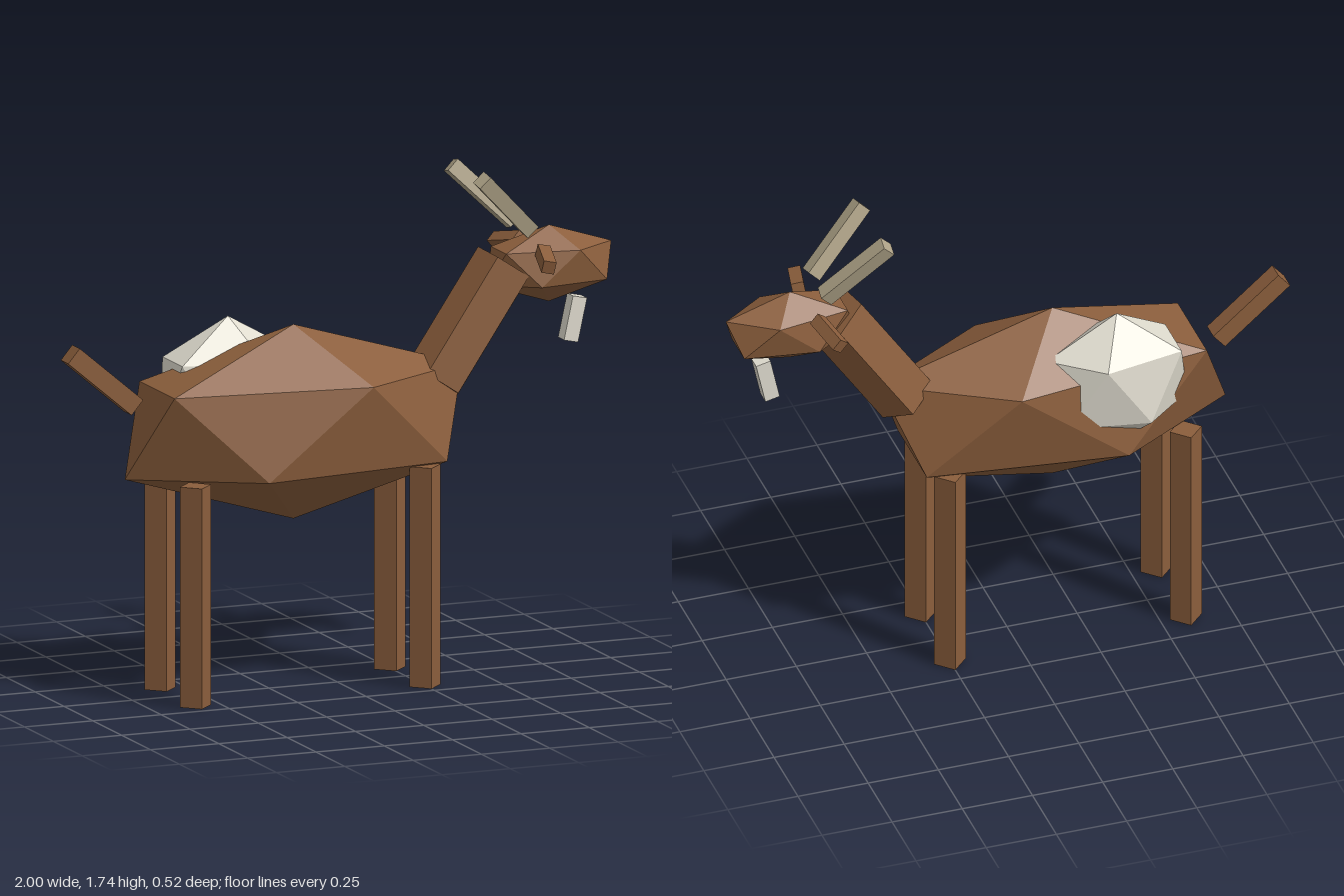
import * as THREE from 'three';

const MID = 0.01; // z of the animal's centre plane

function faceted(geometry) {
  const flat = geometry.index ? geometry.toNonIndexed() : geometry;
  flat.computeVertexNormals();
  return flat;
}

// Twenty-sided ball standing on a vertex, with two staggered rings of five
function gem(rx, ry, rz) {
  const points = [0, ry, 0];
  for (const [h, turn] of [[0.447, 0], [-0.447, 0.5]]) {
    for (let k = 0; k < 5; k++) {
      const a = (k + turn) * Math.PI * 0.4;
      points.push(0.894 * rx * Math.cos(a), h * ry, 0.894 * rz * Math.sin(a));
    }
  }
  points.push(0, -ry, 0);
  const index = [];
  for (let k = 0; k < 5; k++) {
    const n = (k + 1) % 5;
    const u = 1 + k, u2 = 1 + n, l = 6 + k, l2 = 6 + n;
    index.push(0, u2, u, u, u2, l, l, u2, l2, 11, l, l2);
  }
  const g = new THREE.BufferGeometry();
  g.setAttribute('position', new THREE.Float32BufferAttribute(points, 3));
  g.setIndex(index);
  return faceted(g);
}

export function createModel() {
  const model = new THREE.Group();
  model.name = 'goat';

  const material = (name, color) => {
    const m = new THREE.MeshStandardMaterial({ color });
    m.name = name;
    return m;
  };
  const brown = material('brown coat', 0x8b5e3c);
  const cream = material('cream wool', 0xe0dccf);
  const horn = material('horn tan', 0xb0a488);

  function add(name, geometry, mat) {
    const mesh = new THREE.Mesh(geometry, mat);
    mesh.name = name;
    model.add(mesh);
    return mesh;
  }

  // Straight prism from point a to point b
  function bar(name, a, b, radius, sides, twist, mat) {
    const from = new THREE.Vector3(...a), to = new THREE.Vector3(...b);
    const dir = to.clone().sub(from);
    const g = new THREE.CylinderGeometry(radius, radius, dir.length(), sides, 1, false, THREE.MathUtils.degToRad(twist));
    const mesh = add(name, faceted(g), mat);
    mesh.position.copy(from).lerp(to, 0.5);
    mesh.quaternion.setFromUnitVectors(new THREE.Vector3(0, 1, 0), dir.normalize());
  }

  // Body, head and wool patch
  add('body', gem(0.69, 0.335, 0.29), brown).position.set(-0.165, 0.915, MID);
  add('head', gem(0.255, 0.132, 0.127), brown).position.set(0.77, 1.383, MID);
  add('woolPatch', gem(0.28, 0.257, 0.165), cream).position.set(-0.35, 1.012, -0.12);

  // Neck, tail and beard
  bar('neck', [0.357, 1.012, 0.005], [0.615, 1.393, 0.005], 0.11, 5, 28, brown);
  bar('tail', [-0.745, 1.015, 0], [-0.977, 1.212, 0], 0.046, 4, 45, brown);
  bar('beard', [0.84, 1.112, MID], [0.873, 1.262, MID], 0.037, 4, 45, cream);

  // Paired legs, ears and horns
  for (const [side, s] of [['left', 1], ['right', -1]]) {
    const z = (d) => MID + s * d;
    for (const [end, x] of [['front', 0.25], ['back', -0.59]]) {
      bar(`${side} ${end} leg`, [x, 0, 0.015 + s * 0.153], [x, 0.76, 0.015 + s * 0.153], 0.057, 4, 0, brown);
    }
    bar(`${side} ear`, [0.705, 1.45, z(0.1)], [0.67, 1.422, z(0.238)], 0.031, 4, 20, brown);
    bar(`${side} horn`, [0.67, 1.52, z(0.07)], [0.468, 1.72, z(0.135)], 0.037, 4, 45, horn);
  }

  return model;
}
